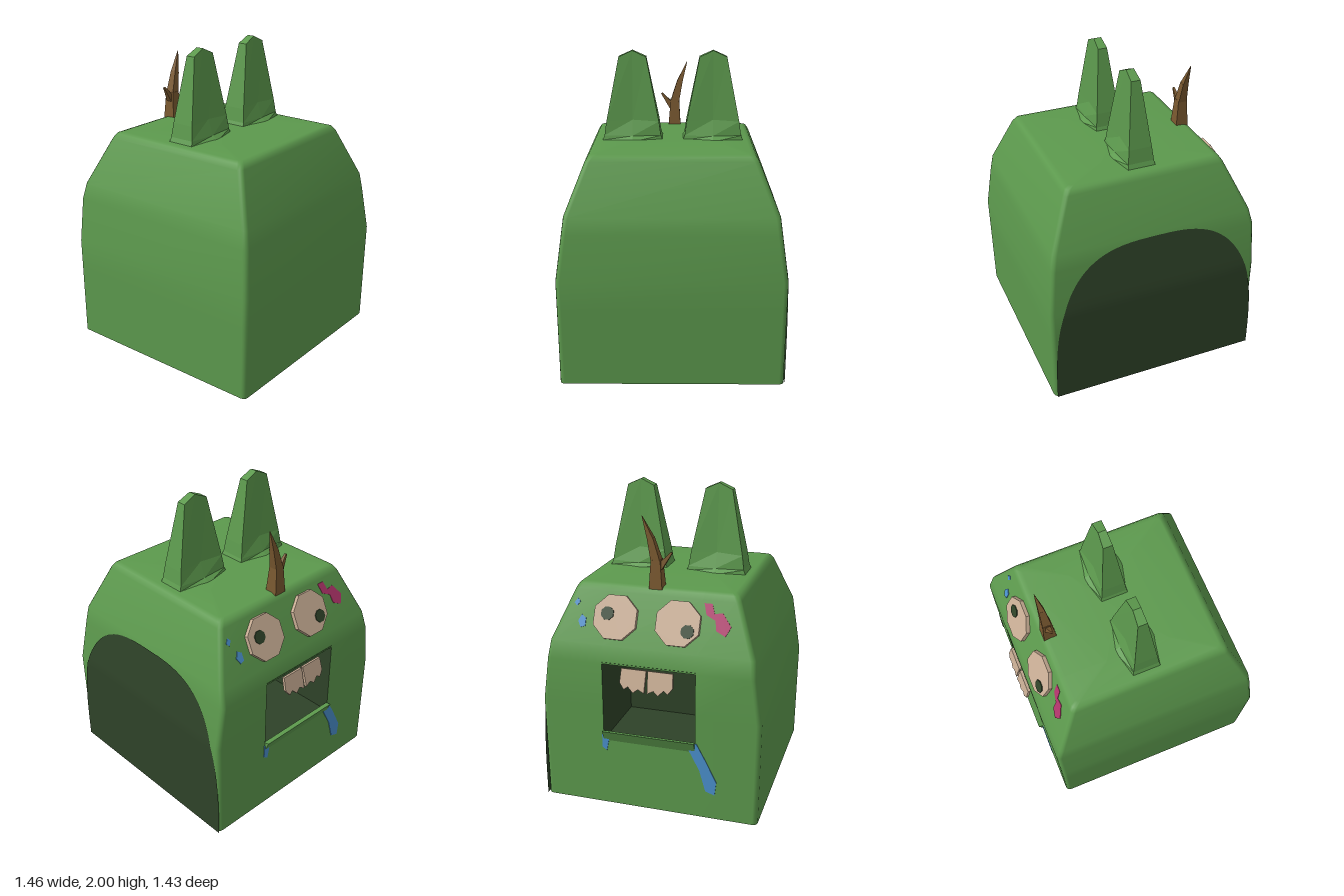
import * as THREE from 'three';

const mat = (name, color, side = THREE.FrontSide) => {
  const m = new THREE.MeshStandardMaterial({ color, side });
  m.name = name;
  return m;
};

// Skin joining equal-length rings of [x, y, z]; skip(i, j) leaves a hole.
function loft(rings, { cap = false, flat = false, skip = () => false } = {}) {
  const n = rings[0].length, pos = rings.flat(2), idx = [];
  for (let i = 0; i < rings.length - 1; i++)
    for (let j = 0; j < n; j++) {
      if (skip(i, j)) continue;
      const k = (j + 1) % n, a = i * n + j, b = i * n + k, c = a + n, d = b + n;
      idx.push(a, c, b, b, c, d);
    }
  if (cap) {
    const top = rings[rings.length - 1], o = (rings.length - 1) * n;
    pos.push(...[0, 1, 2].map(q => top.reduce((s, p) => s + p[q], 0) / n));
    for (let j = 0; j < n; j++) idx.push(rings.length * n, o + (j + 1) % n, o + j);
  }
  let g = new THREE.BufferGeometry();
  g.setAttribute('position', new THREE.Float32BufferAttribute(pos, 3));
  g.setIndex(idx);
  if (flat) g = g.toNonIndexed();
  g.computeVertexNormals();
  return g;
}

// Rounded rectangle ring, with extra points at z = +-0.3 for the mouth opening.
function bodyRing([y, xl, xr, hz, r = 0.03]) {
  const pts = [];
  const corner = (cx, cz, a0) => {
    for (let k = 0; k <= 3; k++) {
      const a = a0 + (k / 3) * Math.PI / 2;
      pts.push([cx + r * Math.cos(a), y, cz + r * Math.sin(a)]);
    }
  };
  corner(xr - r, hz - r, 0);
  corner(xl + r, hz - r, Math.PI / 2);
  pts.push([xl, y, 0.3], [xl, y, -0.3]);
  corner(xl + r, -hz + r, Math.PI);
  corner(xr - r, -hz + r, Math.PI * 1.5);
  return pts;
}

export function createModel() {
  const green = mat('green', 0x5c994d, THREE.DoubleSide);
  const dark = mat('darkGreen', 0x2e4228, THREE.DoubleSide);
  const brown = mat('brown', 0x7a5930);
  const cream = mat('cream', 0xc8ad94);
  const pink = mat('pink', 0xb0346a);
  const blue = mat('blue', 0x4a8fcc);

  const model = new THREE.Group();
  const add = (name, geo, m, parent = model) => {
    const mesh = new THREE.Mesh(geo, m);
    mesh.name = name;
    parent.add(mesh);
    return mesh;
  };
  // Frame on the face side: local x runs along z, local y up the slope.
  const frame = (name, x, y, tilt) => {
    const g = new THREE.Group();
    g.name = name;
    g.position.set(x, y, 0);
    g.rotation.set(-tilt, -Math.PI / 2, 0, 'YXZ');
    model.add(g);
    return g;
  };
  const plate = (pts, depth) => new THREE.ExtrudeGeometry(
    new THREE.Shape(pts.map(p => new THREE.Vector2(...p))), { depth, bevelEnabled: false });
  const octagon = (cx, cy, r, depth) => plate(Array.from({ length: 8 }, (_, k) => {
    const a = (k + 0.5) * Math.PI / 4;
    return [cx + r * Math.cos(a), cy + r * Math.sin(a)];
  }), depth);

  // Hollow body, open underneath
  const profile = [
    [0, -0.69, 0.71, 0.703], [0.49, -0.69, 0.717, 0.708], [0.68, -0.69, 0.72, 0.71],
    [0.97, -0.69, 0.686, 0.67], [1.08, -0.66, 0.668, 0.655], [1.39, -0.52, 0.54, 0.53],
    [1.42, -0.5, 0.52, 0.51], [1.43, -0.47, 0.49, 0.48], [1.438, -0.2, 0.22, 0.31, 0.004],
  ];
  add('body', loft(profile.map(bodyRing),
    { cap: true, skip: (i, j) => (i === 1 || i === 2) && j === 8 }), green);

  // Dark arched panel following the back wall
  const depthAt = y => {
    const i = Math.max(1, profile.findIndex(p => p[0] >= y));
    const [a, b] = [profile[i - 1], profile[i]];
    return THREE.MathUtils.lerp(a[3], b[3], (y - a[0]) / (b[0] - a[0]));
  };
  const arch = new THREE.PlaneGeometry(1, 1, 8, 32), p = arch.attributes.position;
  for (let i = 0; i < p.count; i++) {
    const t = Math.sin((p.getY(i) + 0.5) * Math.PI / 2), y = 1.06 * t;
    const half = 0.695 * Math.cbrt(Math.max(0, 1 - t ** 3));
    p.setXYZ(i, -p.getX(i) * 2 * half, y, -depthAt(y) - 0.006);
  }
  arch.computeVertexNormals();
  add('archPanel', arch, dark);

  // Mouth cavity: a box without its outer side
  const cavity = new THREE.BoxGeometry(0.51, 0.53, 0.6);
  cavity.setIndex([...cavity.index.array].filter((_, i) => i < 6 || i >= 12));
  add('mouthCavity', cavity, dark).position.set(-0.435, 0.715, 0);

  // Lower lip wedge
  const lip = plate([[-0.68, 0.44], [-0.68, 0.51], [-0.72, 0.52], [-0.69, 0.45]], 0.6);
  lip.translate(0, 0, -0.3);
  add('lowerLip', lip, green);

  // Two ragged teeth
  const teeth = frame('teeth', -0.69, 0.96, 0.26);
  for (const s of [-1, 1]) {
    const pts = [[0.005, 0], [0.165, 0], [0.17, -0.09], [0.14, -0.13], [0.115, -0.11],
      [0.08, -0.145], [0.05, -0.12], [0.01, -0.14]].map(([x, y]) => [s * x, y]);
    add('tooth', plate(pts, 0.018), cream, teeth);
  }

  // Eyes and painted marks on the sloping upper face
  const face = frame('face', -0.578, 1.25, 0.44);
  for (const [z, pz, ps] of [[-0.235, -0.285, 0.01], [0.165, 0.232, -0.055]]) {
    add('eye', octagon(z, -0.01, 0.148, 0.032), cream, face);
    add('pupil', octagon(pz, ps, 0.043, 0.008), dark, face).position.z = 0.03;
  }
  add('pinkMark', plate([[0.31, 0.13], [0.36, 0.13], [0.38, 0.07], [0.43, 0.08], [0.49, 0],
    [0.46, -0.06], [0.4, -0.03], [0.39, 0.03], [0.33, 0.06]], 0.009), pink, face);
  add('blueMark', plate([[-0.48, -0.05], [-0.46, -0.09], [-0.43, -0.08], [-0.43, -0.03],
    [-0.46, -0.01]], 0.009), blue, face);
  add('blueMark', plate([[-0.52, 0.06], [-0.5, 0.04], [-0.48, 0.07], [-0.5, 0.09]], 0.009), blue, face);

  // Drips below the mouth corners, showing on both sides of the wall
  const drips = frame('drips', -0.69, 0, 0);
  for (const pts of [
    [[0.24, 0.5], [0.31, 0.51], [0.37, 0.4], [0.44, 0.26], [0.43, 0.17], [0.37, 0.19], [0.33, 0.33]],
    [[-0.31, 0.49], [-0.31, 0.4], [-0.28, 0.38], [-0.26, 0.48]],
  ]) add('drip', plate(pts, 0.009), blue, drips).position.z = -0.0045;

  // Two upright ears with ridged tops: [y of ends, y of middle, end x, middle x, half depth]
  const earRows = [[1.43, 1.43, 0.09, 0.14, 0.195], [1.46, 1.46, 0.085, 0.1, 0.183],
    [1.55, 1.56, 0.075, 0.065, 0.17], [1.96, 2, 0.03, 0.025, 0.088]];
  for (const z of [-0.26, 0.26]) {
    const rings = earRows.map(([ye, ym, e, m, d]) => [[m, ym, 0], [e, ye, d], [-e, ye, d],
      [-m, ym, 0], [-e, ye, -d], [e, ye, -d]].map(([x, y, q]) => [x + 0.01, y, q + z]));
    add('ear', loft(rings.slice(0, 4), { flat: true }), green);
    // Ridge cap: one sloping quad either side of the middle
    const [a, b, c, d, e, f] = rings[3];
    const cap = new THREE.BufferGeometry();
    cap.setAttribute('position', new THREE.Float32BufferAttribute(
      [a, d, c, a, c, b, a, f, e, a, e, d].flat(), 3));
    cap.computeVertexNormals();
    add('earTop', cap, green);
  }

  // Branch: square tapering limbs, [from, to, radius at start, radius at end]
  const branch = new THREE.Group();
  branch.name = 'branch';
  model.add(branch);
  const limbs = [
    [[-0.462, 1.42, -0.008], [-0.465, 1.6, -0.01], 0.06, 0.042],
    [[-0.465, 1.58, -0.008], [-0.47, 1.73, -0.045], 0.042, 0.027],
    [[-0.47, 1.72, -0.042], [-0.483, 1.865, -0.095], 0.028, 0.002],
    [[-0.465, 1.54, 0], [-0.455, 1.645, 0.082], 0.032, 0.008],
  ];
  for (const [from, to, r0, r1] of limbs) {
    const a = new THREE.Vector3(...from), b = new THREE.Vector3(...to), dir = b.clone().sub(a);
    const g = new THREE.CylinderGeometry(r1, r0, dir.length(), 4).rotateY(Math.PI / 4).toNonIndexed();
    g.computeVertexNormals();
    const limb = add('limb', g, brown, branch);
    limb.position.copy(a).add(b).multiplyScalar(0.5);
    limb.quaternion.setFromUnitVectors(new THREE.Vector3(0, 1, 0), dir.normalize());
  }
  return model;
}
